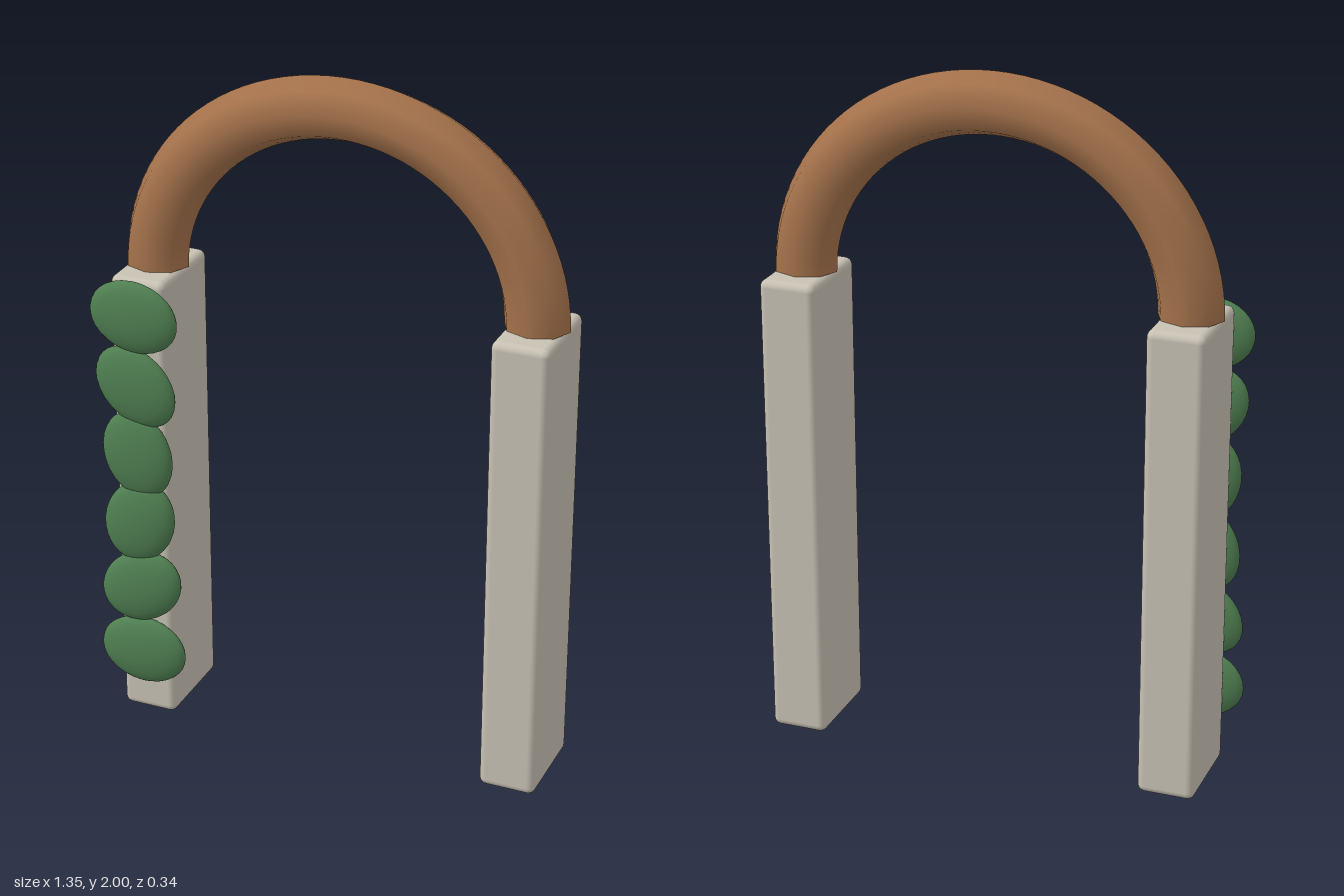
import * as THREE from 'three';
import { RoundedBoxGeometry } from 'three/addons/geometries/RoundedBoxGeometry.js';

const mat = (name, color) => Object.assign(new THREE.MeshStandardMaterial({ color }), { name });

export function createModel() {
  const group = new THREE.Group();
  const stone = mat('stone', 0xc8c2b4);
  const wood = mat('wood', 0xa6734c);
  const leafGreen = mat('leaf green', 0x508052);
  wood.side = THREE.DoubleSide; // the arch tube has open ends

  const add = (name, geometry, material, x, y, z) => {
    const mesh = new THREE.Mesh(geometry, material);
    mesh.name = name;
    mesh.position.set(x, y, z);
    group.add(mesh);
    return mesh;
  };

  const midX = 0.018, midZ = -0.029, span = 0.56, postHeight = 1.38;

  // Two rounded posts
  const postGeometry = new RoundedBoxGeometry(0.166, postHeight, 0.285, 3, 0.022);
  for (const [name, side] of [['rightPost', -1], ['leftPost', 1]]) {
    add(name, postGeometry, stone, midX + side * span, postHeight / 2, midZ);
  }

  // Half-ring arch, eight-sided tube, slightly flattened
  const arch = add('arch', new THREE.TorusGeometry(span, 0.0935, 8, 48, Math.PI), wood, midX, postHeight, midZ);
  arch.scale.set(1, 0.948, 0.87);

  // Column of flat leaves up the front of one post, each turned further
  const leafGeometry = new THREE.SphereGeometry(1, 24, 16);
  for (let i = 0; i < 6; i++) {
    const leaf = add(`leaf${i + 1}`, leafGeometry, leafGreen, midX - span, 0.216 + i * 0.2123, 0.135);
    leaf.scale.set(0.134, 0.106, 0.036);
    leaf.rotation.z = i * 0.6;
  }
  return group;
}
